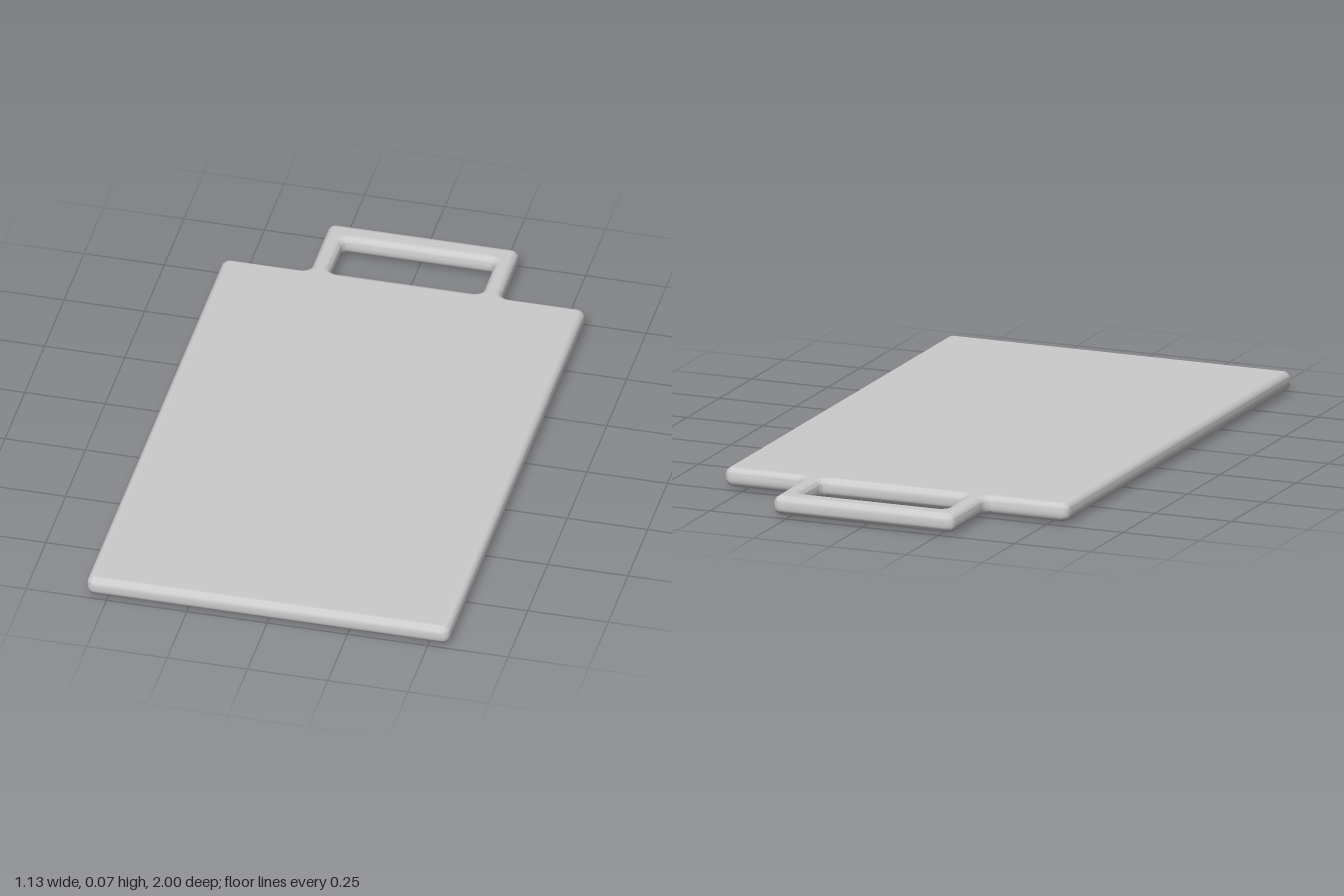
import * as THREE from 'three';
import { toCreasedNormals } from 'three/addons/utils/BufferGeometryUtils.js';

const THICKNESS = 0.06, FOOT = 0.007, BEVEL = 0.024;

// Closed path through [x, y, cornerRadius] points with circular corners
function roundedPath(path, pts) {
  const v = pts.map(([x, y]) => new THREE.Vector2(x, y));
  const n = v.length;
  pts.forEach(([, , r], i) => {
    const p = v[i];
    const toward = (q, d) => p.clone().add(q.clone().sub(p).setLength(d));
    const prev = v[(i + n - 1) % n], next = v[(i + 1) % n];
    const a = toward(prev, r), b = toward(next, r);
    const c1 = toward(prev, r * 0.4477), c2 = toward(next, r * 0.4477);
    if (i === 0) path.moveTo(a.x, a.y); else path.lineTo(a.x, a.y);
    path.bezierCurveTo(c1.x, c1.y, c2.x, c2.y, b.x, b.y);
  });
  path.closePath();
  return path;
}

// Slab and carrying handle in one outline, with rounded edges all round
function boardGeometry() {
  const half = [
    [0.565, -1, 0.026], [0.565, 0.745, 0.026],
    [0.297, 0.745, 0.03], [0.297, 1, 0.026],
  ];
  const mirrored = half.map(([x, y, r]) => [-x, y, r]).reverse();
  const shape = roundedPath(new THREE.Shape(), [...half, ...mirrored]);
  shape.holes.push(roundedPath(new THREE.Path(), [
    [-0.237, 0.75, 0.025], [-0.237, 0.923, 0.02],
    [0.237, 0.923, 0.02], [0.237, 0.75, 0.025],
  ]));
  const extruded = new THREE.ExtrudeGeometry(shape, {
    depth: THICKNESS - 2 * BEVEL, curveSegments: 8,
    bevelEnabled: true, bevelSize: BEVEL, bevelThickness: BEVEL,
    bevelOffset: -BEVEL, bevelSegments: 6,
  });
  extruded.rotateX(-Math.PI / 2).translate(0, FOOT + BEVEL, 0);
  const geo = toCreasedNormals(extruded, 0.7);

  // Keep the broad faces shaded perfectly flat
  const pos = geo.attributes.position, nor = geo.attributes.normal;
  for (let i = 0; i < pos.count; i++) {
    const y = pos.getY(i);
    if (y > FOOT + THICKNESS - 1e-5) nor.setXYZ(i, 0, 1, 0);
    else if (y < FOOT + 1e-5) nor.setXYZ(i, 0, -1, 0);
  }
  return geo;
}

// Shallow pad under the slab, narrowing slightly downward
function padGeometry() {
  const geo = new THREE.BoxGeometry(0.95, FOOT + 0.002, 1.54);
  const pos = geo.attributes.position;
  for (let i = 0; i < pos.count; i++) {
    if (pos.getY(i) > 0) continue;
    pos.setX(i, pos.getX(i) - Math.sign(pos.getX(i)) * 0.015);
    pos.setZ(i, pos.getZ(i) - Math.sign(pos.getZ(i)) * 0.015);
  }
  geo.computeVertexNormals();
  return geo.translate(0, (FOOT + 0.002) / 2, 0.1175);
}

export function createModel() {
  const model = new THREE.Group();
  model.name = 'servingBoard';
  const material = new THREE.MeshStandardMaterial({ color: 0xcccccc });

  const board = new THREE.Mesh(boardGeometry(), material);
  board.name = 'boardWithHandle';

  const pad = new THREE.Mesh(padGeometry(), material);
  pad.name = 'basePad';

  model.add(board, pad);
  return model;
}
